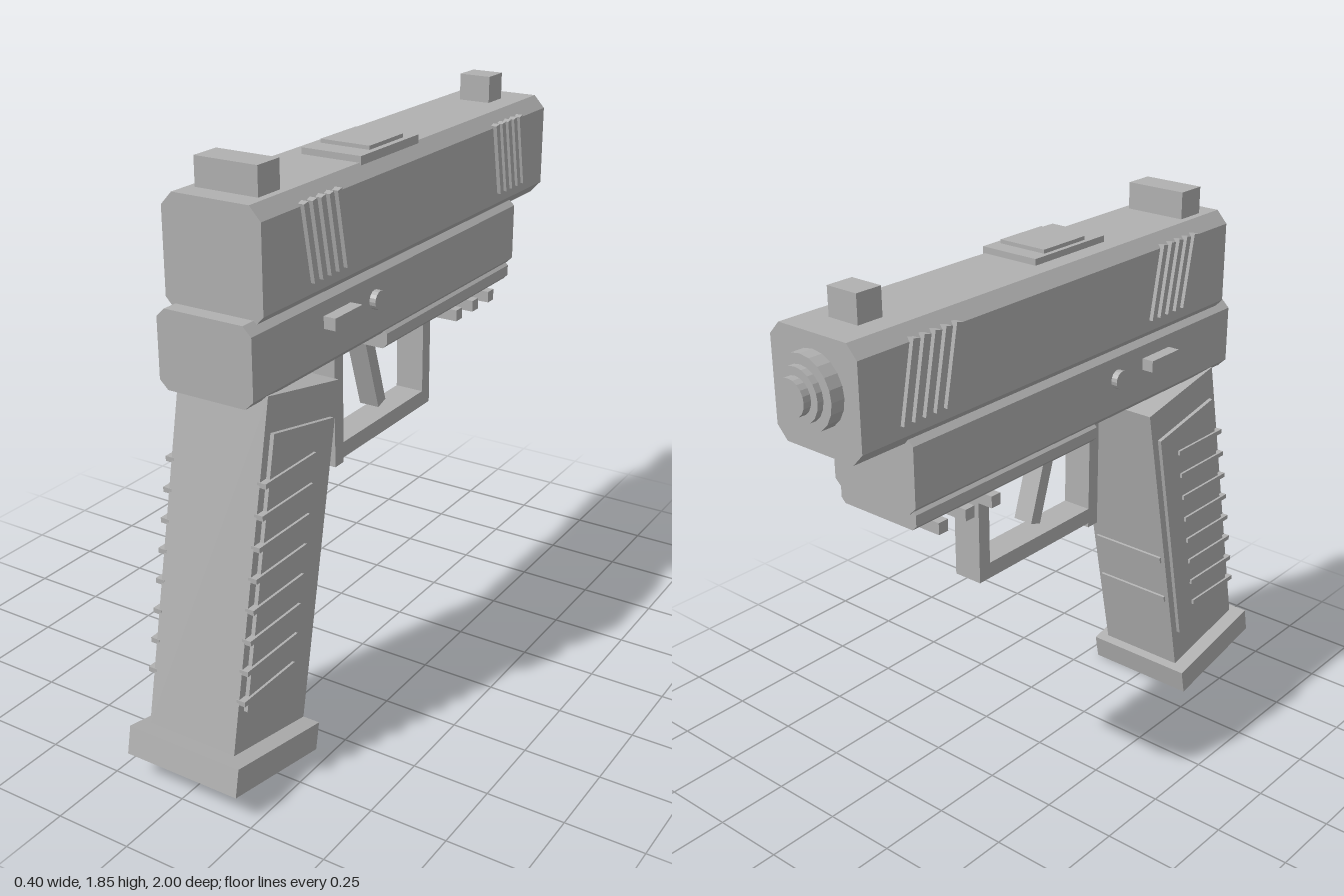
import * as THREE from 'three';

const grey = new THREE.MeshStandardMaterial({ color: 0xb0b0b0 });
grey.name = 'plain grey';
grey.flatShading = true;

export function createModel() {
  const model = new THREE.Group();
  model.name = 'toyPistol';

  function add(name, geometry, x, y, z, tilt = 0, parent = model) {
    const mesh = new THREE.Mesh(geometry, grey);
    mesh.name = name;
    mesh.position.set(x, y, z);
    mesh.rotation.x = tilt;
    parent.add(mesh);
    return mesh;
  }
  const box = (name, w, h, d, x, y, z, tilt, parent) =>
    add(name, new THREE.BoxGeometry(w, h, d), x, y, z, tilt, parent);

  // Bar along z with chamfered long edges
  function chamferedBar(name, halfW, y0, y1, z0, z1, cx, cy) {
    const s = new THREE.Shape([
      [-halfW + cx, y0], [halfW - cx, y0], [halfW, y0 + cy], [halfW, y1 - cy],
      [halfW - cx, y1], [-halfW + cx, y1], [-halfW, y1 - cy], [-halfW, y0 + cy],
    ].map(([x, y]) => new THREE.Vector2(x, y)));
    const g = new THREE.ExtrudeGeometry(s, { depth: z1 - z0, bevelEnabled: false });
    add(name, g, 0, 0, z0);
  }

  // Upper body, lower body and rail
  chamferedBar('slide', 0.165, 1.425, 1.765, -0.91, 0.755, 0.037, 0.04);
  chamferedBar('frame', 0.16, 1.21, 1.45, -0.72, 0.805, 0.028, 0.027);
  chamferedBar('accessoryRail', 0.15, 1.16, 1.225, -0.71, 0.10, 0.015, 0.015);
  for (const z of [-0.372, -0.485, -0.597]) box('railRib', 0.29, 0.038, 0.038, 0, 1.13, z);

  // Stepped muzzle
  for (const [r, end] of [[0.11, -0.955], [0.08, -0.975], [0.055, -1]]) {
    const g = new THREE.CylinderGeometry(r, r, -0.88 - end, 20);
    add('muzzleRing', g, 0, 1.61, (-0.88 + end) / 2, Math.PI / 2);
  }

  // Sights and top port plates
  box('rearSight', 0.21, 0.1, 0.1, 0, 1.802, 0.632);
  box('frontSight', 0.11, 0.1, 0.09, 0, 1.802, -0.754);
  box('portPlate', 0.205, 0.03, 0.325, 0.032, 1.77, 0.06);
  box('portCover', 0.17, 0.04, 0.19, 0.03, 1.777, 0.05);

  // Slanted grip grooves, control levers and pins on both sides
  for (const side of [-1, 1]) {
    for (const start of [0.542, -0.567]) {
      for (let i = 0; i < 5; i++) {
        box('serration', 0.03, 0.24, 0.022, side * 0.163, 1.617, start - i * 0.0415, 0.2);
      }
    }
    box('controlLever', 0.06, 0.038, 0.142, side * 0.17, 1.36, 0.39);
    const pin = add('pin', new THREE.CylinderGeometry(0.03, 0.03, 0.04, 16), side * 0.161, 1.35, 0.187);
    pin.rotation.z = Math.PI / 2;
  }

  // Trigger and its guard
  box('trigger', 0.07, 0.275, 0.046, 0, 1.028, -0.02, 0.31);
  box('guardRearPost', 0.1, 0.43, 0.047, 0, 1.005, 0.216);
  box('guardFrontPost', 0.1, 0.365, 0.047, 0, 0.988, -0.322);
  box('guardBottom', 0.1, 0.053, 0.538, 0, 0.832, -0.076);

  // Raked grip: everything in this group leans together
  const grip = new THREE.Group();
  grip.name = 'grip';
  grip.position.set(0, 0.668, 0.66);
  grip.rotation.x = -0.2;
  model.add(grip);
  box('gripBody', 0.31, 1.07, 0.36, 0, 0, 0, 0, grip);
  box('basePlate', 0.4, 0.09, 0.42, 0, -0.592, 0.008, 0, grip);
  for (const y of [-0.06, -0.235]) box('frontStrapRidge', 0.28, 0.022, 0.02, 0, y, -0.178, 0, grip);
  for (const side of [-1, 1]) {
    box('sidePanel', 0.03, 0.83, 0.303, side * 0.153, 0.012, 0, 0, grip);
    // Level ribs stepping down the rear edge of the panel
    for (let i = 0; i < 8; i++) {
      const y = 0.98 - i * 0.091;
      const rearEdge = 0.844 + (0.668 - y) * 0.203;
      box('sideRib', 0.03, 0.016, 0.25, side * 0.161, y, rearEdge - 0.125);
    }
  }
  return model;
}
